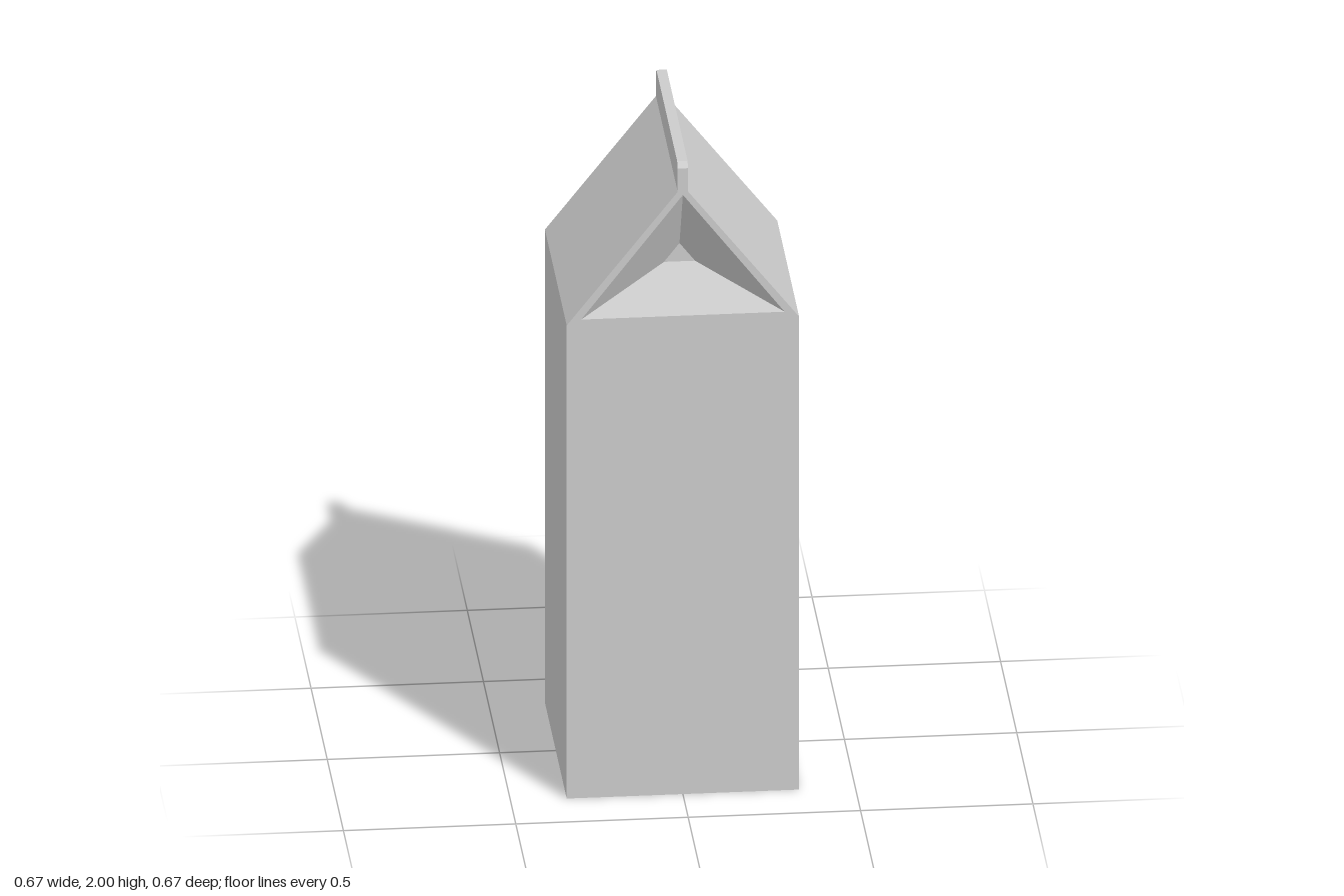
import * as THREE from 'three';

const HALF = 0.337;        // half width and half depth of the carton
const SHOULDER = 1.5;      // top of the straight walls
const RIDGE = 1.91;        // where the roof meets the sealed fin
const FIN = 0.015;         // half thickness of the fin

const material = new THREE.MeshStandardMaterial({ color: 0xcccccc, flatShading: true });

function part(name, geometry) {
  const mesh = new THREE.Mesh(geometry, material);
  mesh.name = name;
  return mesh;
}

// Flat-shaded faces from convex polygons, corners counter-clockwise seen from outside
function polygons(faces) {
  const positions = [];
  for (const f of faces) {
    for (let i = 1; i < f.length - 1; i++) positions.push(...f[0], ...f[i], ...f[i + 1]);
  }
  const geometry = new THREE.BufferGeometry();
  geometry.setAttribute('position', new THREE.Float32BufferAttribute(positions, 3));
  geometry.computeVertexNormals();
  return geometry;
}

// Carton outline, open at the ridge where the fin sits
const outline = [
  [-FIN, RIDGE], [-HALF, SHOULDER], [-HALF, 0], [HALF, 0], [HALF, SHOULDER], [FIN, RIDGE],
];
// Triangular opening in each gable
const opening = [[-0.295, 1.517], [0.295, 1.517], [0, 1.9]];

// Gable wall with its folded-in pocket, facing +z
function gableEnd(name, depth, innerHalf, innerBase, innerTop) {
  const group = new THREE.Group();
  group.name = name;

  const wall = new THREE.Shape(outline.map(([x, y]) => new THREE.Vector2(x, y)));
  wall.holes.push(new THREE.Path(opening.map(([x, y]) => new THREE.Vector2(x, y))));
  group.add(part('gableWall', new THREE.ShapeGeometry(wall).translate(0, 0, HALF)));

  const outer = opening.map(([x, y]) => [x, y, HALF]);
  const inner = [[-innerHalf, innerBase], [innerHalf, innerBase], [0, innerTop]]
    .map(([x, y]) => [x, y, HALF - depth]);
  const faces = [inner];
  for (let i = 0; i < 3; i++) {
    const j = (i + 1) % 3;
    faces.push([outer[i], outer[j], inner[j], inner[i]]);
  }
  group.add(part('foldedPocket', polygons(faces)));
  return group;
}

export function createModel() {
  const model = new THREE.Group();
  model.name = 'carton';

  // Side walls, base and sloping roof panels
  const names = ['roofRight', 'wallRight', 'base', 'wallLeft', 'roofLeft'];
  names.forEach((name, i) => {
    const [a, b] = [outline[i], outline[i + 1]];
    model.add(part(name, polygons([
      [[...a, HALF], [...a, -HALF], [...b, -HALF], [...b, HALF]],
    ])));
  });

  // Gable ends, the back one folded in deeper
  model.add(gableEnd('frontGable', 0.105, 0.045, 1.642, 1.7));
  const back = gableEnd('backGable', 0.165, 0.05, 1.65, 1.72);
  back.rotation.y = Math.PI;
  model.add(back);

  // Sealed top fin with clipped corners
  const clip = 0.016;
  const fin = new THREE.Shape([
    [-HALF, RIDGE], [HALF, RIDGE], [HALF, 2 - clip],
    [HALF - clip, 2], [-HALF + clip, 2], [-HALF, 2 - clip],
  ].map(([z, y]) => new THREE.Vector2(z, y)));
  const finGeometry = new THREE.ExtrudeGeometry(fin, { depth: 2 * FIN, bevelEnabled: false });
  finGeometry.translate(0, 0, -FIN).rotateY(Math.PI / 2);
  model.add(part('topFin', finGeometry));

  return model;
}
